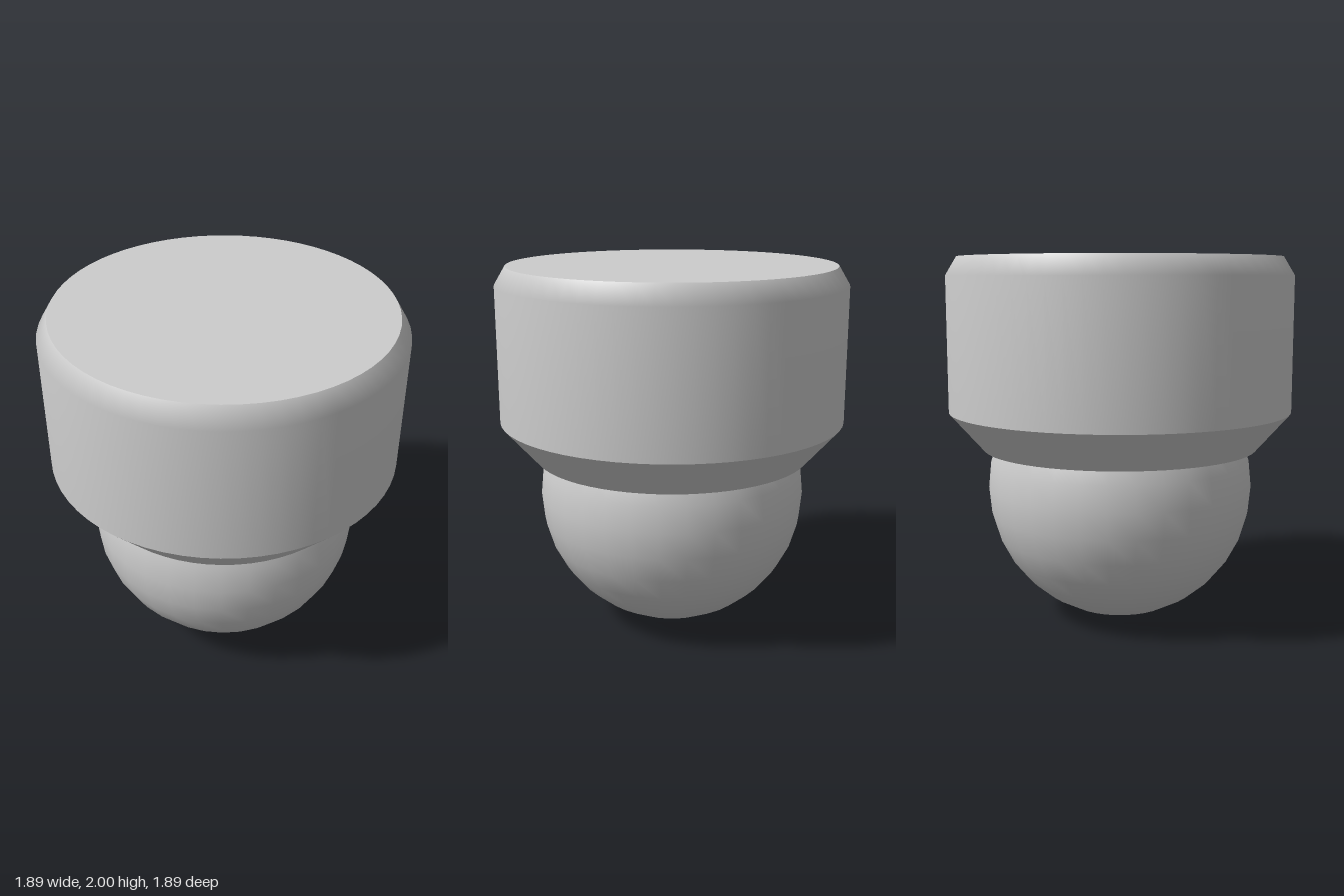
import * as THREE from 'three';

export function createModel() {
  const model = new THREE.Group();
  const grey = new THREE.MeshStandardMaterial({ color: 0xcccccc });
  grey.name = 'light grey';

  const add = (name, geometry, parent) => {
    const mesh = new THREE.Mesh(geometry, grey);
    mesh.name = name;
    parent.add(mesh);
    return mesh;
  };
  // Each profile [radius, height] is smooth; separate bands keep sharp edges
  const band = (...points) =>
    new THREE.LatheGeometry(points.map(([r, y]) => new THREE.Vector2(r, y)), 64);

  // Round housing, from its underside to its flat top
  const housing = new THREE.Group();
  housing.name = 'housing';
  add('underside', band([0, 0.955], [0.76, 0.955]), housing);
  add('lowerChamfer', band([0.76, 0.955], [0.945, 1.165]), housing);
  add('wall', band([0.945, 1.165], [0.945, 1.9], [0.885, 2]), housing);
  add('topFace', band([0.885, 2], [0, 2]), housing);
  model.add(housing);

  // Ball seated in the underside of the housing
  const ball = add('ball', new THREE.SphereGeometry(0.735, 32, 16), model);
  ball.position.y = 0.735;

  return model;
}
